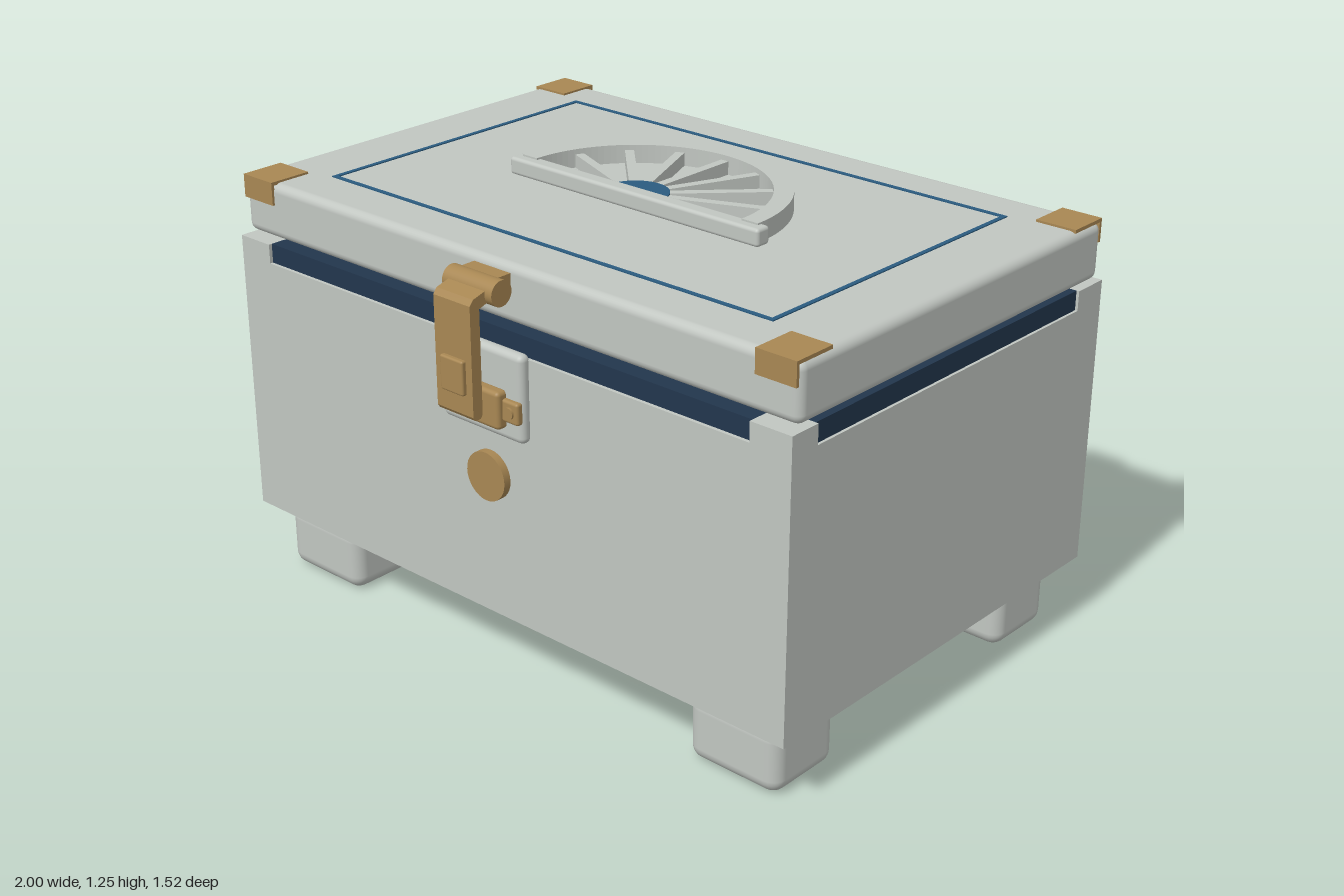
import * as THREE from 'three';
import { RoundedBoxGeometry } from 'three/addons/geometries/RoundedBoxGeometry.js';

const paint = (name, color) => {
  const m = new THREE.MeshStandardMaterial({ color });
  m.name = name;
  return m;
};

export function createModel() {
  const grey = paint('stone grey', 0xc1c6c1);
  const brass = paint('brass', 0xa88753);
  const navy = paint('dark navy', 0x22364d);
  const blue = paint('inlay blue', 0x2b5c80);

  const chest = new THREE.Group();
  chest.name = 'chest';
  const CX = 0.018;

  const add = (name, geo, mat, x = 0, y = 0, z = 0, parent = chest) => {
    const mesh = new THREE.Mesh(geo, mat);
    mesh.name = name;
    mesh.position.set(x, y, z);
    parent.add(mesh);
    return mesh;
  };
  // Box given by its limits, optionally with rounded edges
  const box = (name, mat, [x0, x1], [y0, y1], [z0, z1], r = 0, parent = chest) => {
    const size = [x1 - x0, y1 - y0, z1 - z0];
    const geo = r ? new RoundedBoxGeometry(...size, 3, r) : new THREE.BoxGeometry(...size);
    return add(name, geo, mat, (x0 + x1) / 2, (y0 + y1) / 2, (z0 + z1) / 2, parent);
  };
  const rod = (name, mat, r, length, axis, x, y, z, parent = chest) => {
    const mesh = add(name, new THREE.CylinderGeometry(r, r, length, 32), mat, x, y, z, parent);
    if (axis === 'x') mesh.rotation.z = Math.PI / 2;
    if (axis === 'z') mesh.rotation.x = Math.PI / 2;
    return mesh;
  };

  // Body, end blocks and the plinth below
  const front = 0.63, back = -0.677;
  box('bodyPanel', grey, [-0.845, 0.875], [0.2, 0.975], [back, front]);
  box('bottomPlate', grey, [-0.887, 0.92], [0.17, 0.2], [-0.58, 0.535]);
  box('backRail', grey, [-0.845, 0.875], [0.975, 1.03], [back, -0.63]);
  for (const ex of [[-0.963, -0.845], [0.875, 1]]) {
    box('endBlock', grey, ex, [0.2, 0.975], [back, front]);
    for (const ez of [[back, -0.565], [0.535, front]]) box('postCap', grey, ex, [0.975, 1.03], ez);
  }

  // Dark lining showing between body and lid
  box('liningLong', navy, [-0.845, 0.875], [0.975, 1.03], [-0.63, 0.62]);
  box('liningWide', navy, [-0.955, 0.992], [0.975, 1.03], [-0.565, 0.535]);
  box('liningCore', navy, [-0.9, 0.93], [1.03, 1.05], [-0.61, 0.56]);

  // Feet
  for (const fx of [[-0.907, -0.612], [0.648, 0.94]])
    for (const fz of [[-0.62, -0.385], [0.34, 0.58]])
      box('foot', grey, fx, [0, 0.19], fz, 0.04);

  // Lid with its brass corner brackets
  box('lid', grey, [-0.963, 1], [1.04, 1.2], [-0.655, 0.605], 0.025);
  for (const cx of [[-0.957, -0.838], [0.872, 0.993]]) {
    box('cornerTop', brass, cx, [1.196, 1.206], [0.482, 0.612]);
    box('cornerFront', brass, cx, [1.14, 1.206], [0.603, 0.612]);
    box('cornerTop', brass, cx, [1.196, 1.206], [-0.661, -0.535]);
    box('cornerBack', brass, cx, [1.14, 1.206], [-0.661, -0.652]);
  }

  // Thin inlaid frame on the lid
  const inlayY = [1.196, 1.203];
  for (const z of [-0.515, 0.443]) box('inlayLong', blue, [-0.768, 0.797], inlayY, [z, z + 0.013]);
  for (const x of [-0.768, 0.784]) box('inlayShort', blue, [x, x + 0.013], inlayY, [-0.502, 0.443]);

  // Half-round fan ornament
  const fan = new THREE.Group();
  fan.name = 'fanOrnament';
  fan.position.set(0.016, 1.198, 0.075);
  chest.add(fan);
  const halfRing = (outer, inner) => {
    const s = new THREE.Shape();
    s.absarc(0, 0, outer, 0, Math.PI, false);
    if (inner) s.absarc(0, 0, inner, Math.PI, 0, true);
    s.closePath();
    return s;
  };
  const slab = (shape, depth) => new THREE.ExtrudeGeometry(shape, { depth, bevelEnabled: false, curveSegments: 32 })
    .rotateX(-Math.PI / 2);
  add('fanArch', slab(halfRing(0.42, 0.366), 0.055), grey, 0, 0, 0, fan);
  add('fanHub', slab(halfRing(0.092, 0), 0.043), blue, 0, 0, 0, fan);
  box('fanBar', grey, [-0.445, 0.443], [0, 0.05], [-0.021, 0.028], 0.01, fan);
  for (let i = 1; i < 8; i++) {
    const a = (i * Math.PI) / 8;
    const spoke = add('fanSpoke', new THREE.BoxGeometry(0.295, 0.04, 0.026), grey,
      Math.cos(a) * 0.2325, 0.02, -Math.sin(a) * 0.2325, fan);
    spoke.rotation.y = a;
  }

  // Front latch: backplate, catch, swinging hasp
  box('latchPlate', grey, [-0.132, 0.163], [0.745, 0.99], [0.62, 0.658], 0.018);
  box('latchEars', brass, [-0.125, 0.16], [0.803, 0.865], [0.65, 0.672], 0.008);
  box('latchCatch', brass, [-0.075, 0.107], [0.78, 0.885], [0.65, 0.688], 0.012);
  for (const s of [-1, 1]) rod('latchScrew', brass, 0.016, 0.01, 'z', CX + s * 0.113, 0.834, 0.673);
  rod('latchKnuckle', brass, 0.035, 0.176, 'x', 0.016, 1.146, 0.661);
  box('latchLidTab', brass, [-0.05, 0.08], [1.12, 1.178], [0.6, 0.655]);
  const hasp = new THREE.Shape();
  [[0.645, 1.16], [0.665, 1.164], [0.735, 1.145], [0.747, 1.13], [0.747, 0.83], [0.74, 0.82],
    [0.722, 0.82], [0.715, 0.83], [0.715, 1.115], [0.665, 1.13]]
    .forEach(([z, y], i) => (i ? hasp.lineTo(-z, y) : hasp.moveTo(-z, y)));
  const haspMesh = add('hasp', new THREE.ExtrudeGeometry(hasp, { depth: 0.13, bevelEnabled: false }), brass, -0.05);
  haspMesh.rotation.y = Math.PI / 2;
  box('haspPad', brass, [-0.024, 0.058], [0.885, 0.98], [0.74, 0.76], 0.006);
  rod('frontBoss', brass, 0.069, 0.03, 'z', 0.016, 0.612, front + 0.007);

  // Back hinges
  for (const x of [-0.582, 0.61]) {
    rod('hingeBarrel', brass, 0.039, 0.217, 'x', x, 1.03, -0.72);
    box('hingeLidLeaf', brass, [x - 0.072, x + 0.072], [1.03, 1.125], [-0.73, -0.648], 0.008);
    box('hingeBodyLeaf', brass, [x - 0.072, x + 0.072], [0.797, 1.02], [-0.706, -0.672], 0.01);
  }

  // Ring pull on one end
  rod('ringMount', brass, 0.041, 0.03, 'x', -0.968, 0.706, -0.027);
  const ring = add('ringPull', new THREE.TorusGeometry(0.065, 0.01, 12, 40), brass, -0.99, 0.637, -0.027);
  ring.rotation.y = Math.PI / 2;

  return chest;
}
